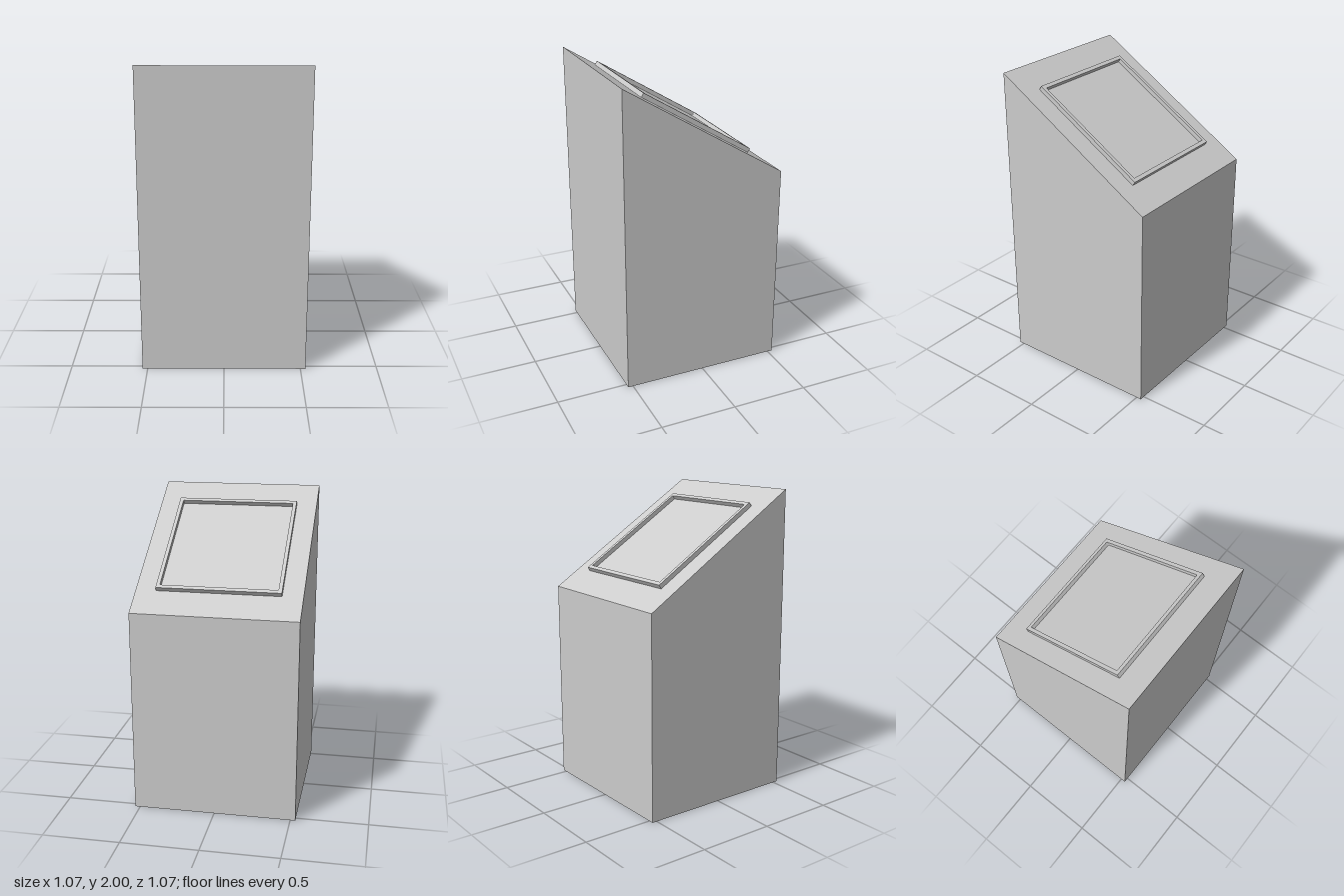
import * as THREE from 'three';

const HALF = 0.533;        // half width and half depth of the body
const FRONT_TOP = 2;
const BACK_TOP = 1.333;

const material = new THREE.MeshStandardMaterial({ color: 0xcccccc });

function extruded(name, shape, depth) {
  const geometry = new THREE.ExtrudeGeometry(shape, { depth, bevelEnabled: false, curveSegments: 4 });
  const mesh = new THREE.Mesh(geometry, material);
  mesh.name = name;
  return mesh;
}

// Rectangle with rounded corners, given by half sizes
function roundedRect(path, w, h, r) {
  path.absarc(w - r, h - r, r, 0, Math.PI / 2);
  path.absarc(-w + r, h - r, r, Math.PI / 2, Math.PI);
  path.absarc(-w + r, -h + r, r, Math.PI, Math.PI * 1.5);
  path.absarc(w - r, -h + r, r, Math.PI * 1.5, Math.PI * 2);
  path.closePath();
  return path;
}

export function createModel() {
  const model = new THREE.Group();
  model.name = 'kiosk';

  // Pedestal: side profile (z, y) extruded across x
  const profile = new THREE.Shape([
    new THREE.Vector2(-HALF, 0),
    new THREE.Vector2(HALF, 0),
    new THREE.Vector2(HALF, FRONT_TOP),
    new THREE.Vector2(-HALF, BACK_TOP),
  ]);
  const body = extruded('pedestal', profile, HALF * 2);
  body.geometry.translate(0, 0, -HALF);
  body.rotation.y = -Math.PI / 2;
  model.add(body);

  // Display lies on the sloping top, facing up and back
  const display = new THREE.Group();
  display.name = 'display';
  display.position.y = (FRONT_TOP + BACK_TOP) / 2;
  display.rotation.x = -Math.PI / 2 - Math.atan2(FRONT_TOP - BACK_TOP, HALF * 2);
  model.add(display);

  // Raised bezel with an opening
  const outline = new THREE.Shape([
    new THREE.Vector2(-0.4, -0.427),
    new THREE.Vector2(0.4, -0.427),
    new THREE.Vector2(0.4, 0.427),
    new THREE.Vector2(-0.4, 0.427),
  ]);
  outline.holes.push(roundedRect(new THREE.Path(), 0.376, 0.401, 0.005));
  display.add(extruded('bezel', outline, 0.029));

  // Recessed screen inside the bezel
  display.add(extruded('screen', roundedRect(new THREE.Shape(), 0.376, 0.401, 0.005), 0.001));

  return model;
}
